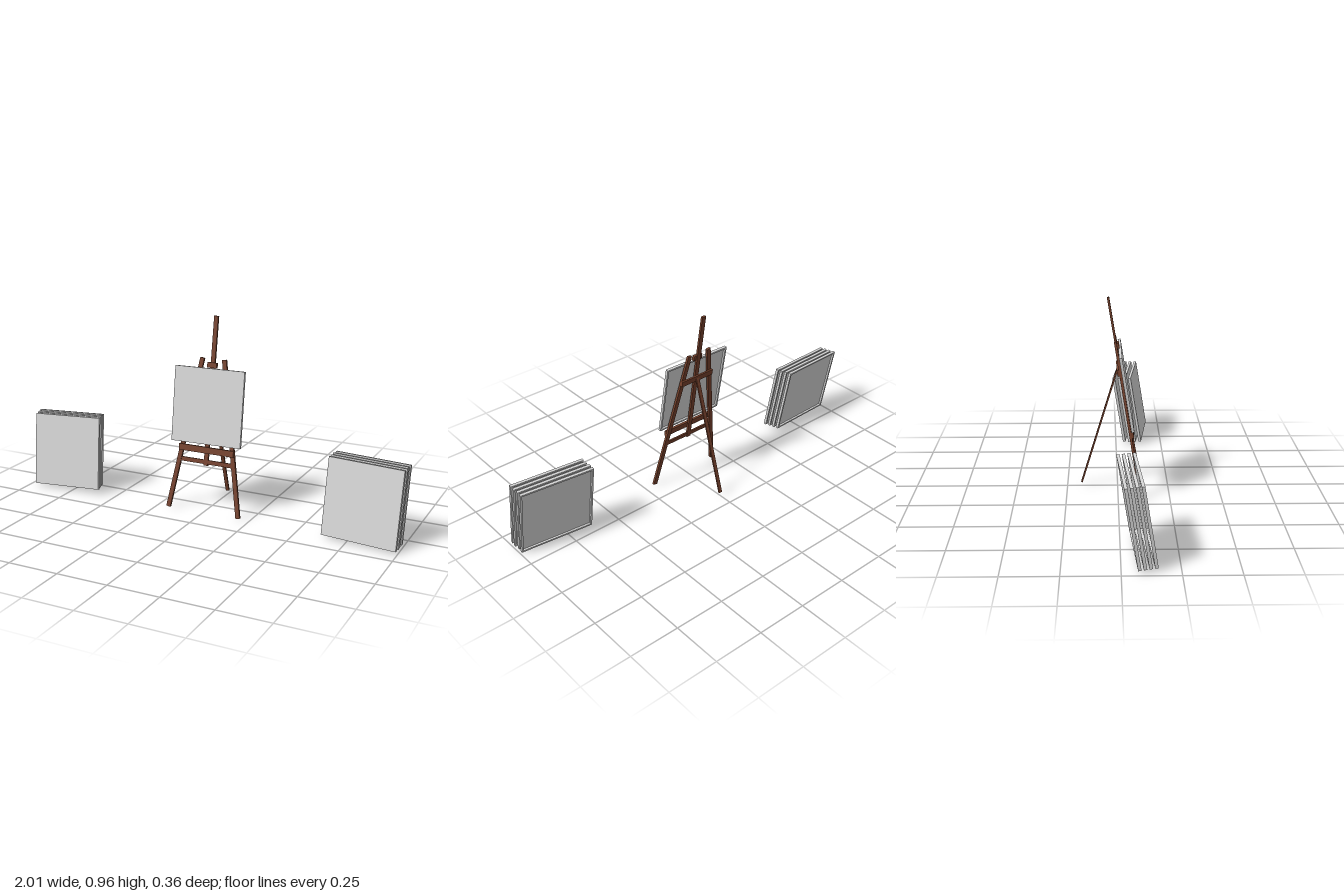
import * as THREE from 'three';

const wood = new THREE.MeshStandardMaterial({ color: 0x74402b });
wood.name = 'brown wood';
const cloth = new THREE.MeshStandardMaterial({ color: 0xd4d4d4 });
cloth.name = 'pale grey canvas';

const rad = THREE.MathUtils.degToRad;
const SIZE = 0.37, THICK = 0.014, PLATE = 0.004, RIM = 0.009;
const LEAN = rad(-9.25);

function box(name, w, h, d, x, y, z) {
  const mesh = new THREE.Mesh(new THREE.BoxGeometry(w, h, d), wood);
  mesh.name = name;
  mesh.position.set(x, y, z);
  return mesh;
}

// Straight wooden bar running between two points
function bar(name, from, to, w, d) {
  const a = new THREE.Vector3(...from), b = new THREE.Vector3(...to);
  const mid = a.clone().add(b).multiplyScalar(0.5);
  const mesh = box(name, w, a.distanceTo(b), d, mid.x, mid.y, mid.z);
  mesh.quaternion.setFromUnitVectors(new THREE.Vector3(0, 1, 0), b.sub(a).normalize());
  return mesh;
}

function square(Type, s) {
  const h = s / 2, p = new Type();
  p.moveTo(-h, -h);
  p.lineTo(h, -h);
  p.lineTo(h, h);
  p.lineTo(-h, h);
  p.closePath();
  return p;
}

// Stretched canvas: thin front sheet with a raised rim round its hollow back
const sheetGeometry = new THREE.BoxGeometry(SIZE, SIZE, PLATE);
const rimShape = square(THREE.Shape, SIZE);
rimShape.holes.push(square(THREE.Path, SIZE - 2 * RIM));
const rimGeometry = new THREE.ExtrudeGeometry(rimShape, { depth: THICK - PLATE, bevelEnabled: false });
rimGeometry.translate(0, 0, -THICK / 2);

function canvas(name) {
  const group = new THREE.Group();
  group.name = name;
  const sheet = new THREE.Mesh(sheetGeometry, cloth);
  sheet.name = 'canvasSheet';
  sheet.position.z = THICK / 2 - PLATE / 2;
  const rim = new THREE.Mesh(rimGeometry, cloth);
  rim.name = 'canvasRim';
  group.add(sheet, rim);
  return group;
}

// Row of leaning canvases, each set behind the one before
function stack(name, { x, y, z, yaw, roll, stepX, stepZ, jitter }) {
  const group = new THREE.Group();
  group.name = name;
  for (let i = 0; i < 4; i++) {
    const c = canvas('stackedCanvas');
    c.position.set(x + stepX * i + jitter * (i % 2), y, z - stepZ * i);
    c.rotation.set(LEAN, rad(yaw), rad(roll), 'YXZ');
    group.add(c);
  }
  return group;
}

function easel() {
  const group = new THREE.Group();
  group.name = 'easel';

  // Leaning front frame
  const frame = new THREE.Group();
  frame.name = 'frontFrame';
  frame.position.z = 0.11;
  frame.rotation.x = LEAN;
  for (const s of [-1, 1]) {
    frame.add(bar('frontLeg', [s * 0.19, 0.004, 0], [s * 0.058, 0.762, 0], 0.022, 0.012));
  }
  frame.add(
    box('mast', 0.022, 0.73, 0.011, 0, 0.603, 0),
    box('upperRail', 0.294, 0.031, 0.012, 0, 0.315, 0.01),
    box('lowerRail', 0.296, 0.021, 0.008, 0, 0.255, 0),
    box('backCrossbar', 0.19, 0.03, 0.009, 0, 0.616, -0.0105),
    box('topClamp', 0.05, 0.026, 0.014, 0, 0.731, 0.008)
  );

  // Canvas on show, set slightly crooked
  const shown = canvas('displayedCanvas');
  shown.position.set(-0.005, 0.53, 0.0155);
  shown.rotation.z = rad(0.8);
  frame.add(shown);

  group.add(frame, bar('backLeg', [0, 0.022, -0.178], [0, 0.612, 0.001], 0.018, 0.008));
  return group;
}

export function createModel() {
  const model = new THREE.Group();
  model.name = 'easelWithCanvases';
  model.add(
    easel(),
    stack('leftCanvasStack', { x: 0.813, y: 0.196, z: 0.124, yaw: -6.5, roll: 0, stepX: 0, stepZ: 0.0287, jitter: 0.003 }),
    stack('rightCanvasStack', { x: -0.786, y: 0.204, z: 0.105, yaw: 3.8, roll: 2, stepX: -0.0075, stepZ: 0.0237, jitter: 0 })
  );
  return model;
}
